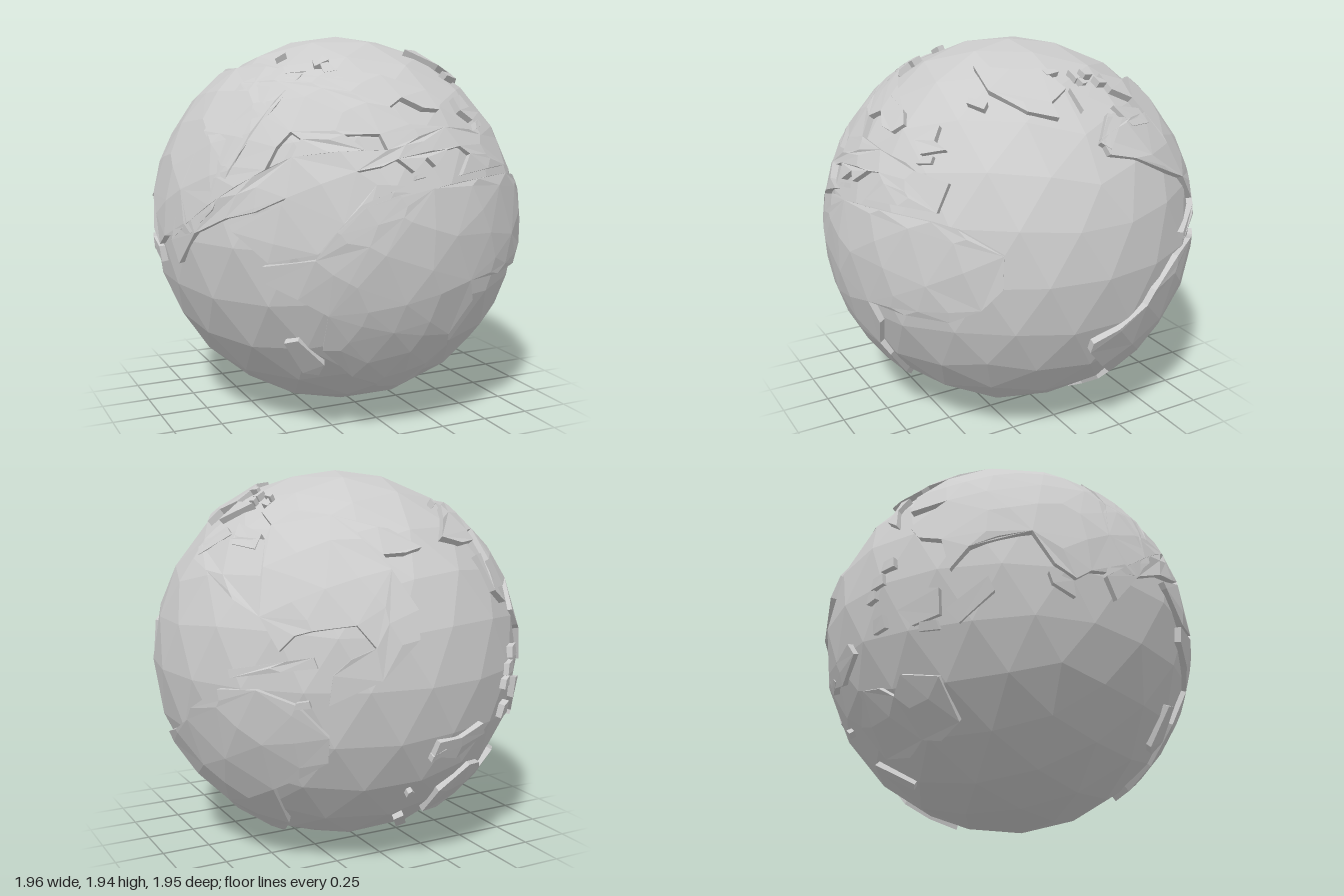
import * as THREE from 'three';

const SEA = 0.97, LAND = 0.99, BASE = 0.93, MAX_EDGE = 0.32;
const mat = new THREE.MeshStandardMaterial({ color: 0xcccccc, flatShading: true });

// Drawing planes [azimuth, elevation] from which the coastlines are wrapped on the sphere
const FRONT = [0, 0], TOP = [0, 90], EAST = [215, 30], WEST = [145, 40], SOUTHWEST = [145, -28], SOUTH = [208, -37];

function wrapper([az, el]) {
  const a = THREE.MathUtils.degToRad(az), e = THREE.MathUtils.degToRad(el);
  const right = new THREE.Vector3(Math.cos(a), 0, -Math.sin(a));
  const dir = new THREE.Vector3(Math.sin(a) * Math.cos(e), Math.sin(e), Math.cos(a) * Math.cos(e));
  const up = new THREE.Vector3().crossVectors(dir, right);
  return (p) => new THREE.Vector3()
    .addScaledVector(right, p.x)
    .addScaledVector(up, p.y)
    .addScaledVector(dir, Math.sqrt(Math.max(0, 1 - p.x * p.x - p.y * p.y)))
    .normalize();
}

const middle = (a, b) => a.clone().add(b).normalize();

// Split long edges so that the land follows the curve of the globe
function splitTriangle(a, b, c, out) {
  const ab = a.distanceTo(b), bc = b.distanceTo(c), ca = c.distanceTo(a);
  const m = Math.max(ab, bc, ca);
  if (m <= MAX_EDGE) { out.push([a, b, c]); return; }
  if (m === bc) [a, b, c] = [b, c, a];
  else if (m === ca) [a, b, c] = [c, a, b];
  const d = middle(a, b);
  splitTriangle(a, d, c, out);
  splitTriangle(d, b, c, out);
}

function splitEdge(a, b, out) {
  if (a.distanceTo(b) <= MAX_EDGE) { out.push([a, b]); return; }
  const d = middle(a, b);
  splitEdge(a, d, out);
  splitEdge(d, b, out);
}

// Outline in hundredths of the globe radius -> raised plate with side walls
function plate(name, view, outline, holes = []) {
  const ring = (pts, ccw) => {
    const r = pts.map(([u, v]) => new THREE.Vector2(u / 100, v / 100));
    return (THREE.ShapeUtils.area(r) > 0) === ccw ? r : r.reverse();
  };
  const outer = ring(outline, true), inner = holes.map((h) => ring(h, false));
  const wrap = wrapper(view);
  const points = [outer, ...inner].flat().map(wrap);
  const pos = [];
  const add = (v, r) => pos.push(v.x * r, v.y * r, v.z * r);

  const tops = [];
  for (const [i, j, k] of THREE.ShapeUtils.triangulateShape(outer, inner))
    splitTriangle(points[i], points[j], points[k], tops);
  for (const t of tops) t.forEach((v) => add(v, LAND));

  for (const r of [outer, ...inner]) {
    const edges = [];
    r.forEach((p, i) => splitEdge(wrap(p), wrap(r[(i + 1) % r.length]), edges));
    for (const [a, b] of edges) {
      add(a, BASE); add(b, BASE); add(b, LAND);
      add(a, BASE); add(b, LAND); add(a, LAND);
    }
  }
  const geo = new THREE.BufferGeometry();
  geo.setAttribute('position', new THREE.Float32BufferAttribute(pos, 3));
  geo.computeVertexNormals();
  const mesh = new THREE.Mesh(geo, mat);
  mesh.name = name;
  return mesh;
}

// Small slanted block island
function islet(name, view, u, v, w, h, s = 1) {
  return plate(name, view, [[u - w, v - h], [u + w, v - h + s], [u + w - s, v + h], [u - w + s, v + h - s]]);
}

export function createModel() {
  const globe = new THREE.Group();
  globe.name = 'globe';

  // Ocean: faceted sphere with a corner at each pole
  const oceanGeo = new THREE.IcosahedronGeometry(SEA, 3);
  oceanGeo.rotateZ(-Math.atan(2 / (1 + Math.sqrt(5))));
  const ocean = new THREE.Mesh(oceanGeo, mat);
  ocean.name = 'ocean';
  globe.add(ocean);

  // Front continents
  globe.add(plate('southFrontContinent', FRONT, [
    [-28, 21], [-41, 10], [-50, -3], [-70, -7], [-69, -15], [-56, -22], [-43, -30], [-42, -49],
    [-24, -66], [-7, -75], [6, -77], [13, -71], [23, -53], [21, -46], [32, -29], [28, -18],
    [69, -18], [80, -10], [86, 1], [85, 17], [70, 28], [60, 30], [25, 30], [6, 28], [-12, 26]]));
  globe.add(plate('northFrontContinent', FRONT, [
    [-42, 84], [-23, 78], [1, 75], [17, 72], [24, 67], [20, 63], [11, 64], [1, 69], [-7, 65],
    [0, 57], [20, 55], [36, 53], [44, 50], [60, 47], [61, 34], [24, 33], [32, 42], [26, 46],
    [18, 45], [9, 38], [5, 42], [-3, 36], [-10, 42], [-18, 39], [-30, 37], [-22, 31], [-8, 30], [-25, 24],
    [-30, 22], [-38, 14], [-49, 0], [-68, -5], [-80, 8], [-81, 11], [-62, 22], [-60, 25], [-72, 18],
    [-82, 14], [-92, 5], [-96, -12], [-98, -1], [-94, 25], [-82, 50], [-62, 75]],
  [[[-66, 37], [-60, 47], [-53, 54], [-50, 51], [-55, 43]],
    [[-32, 53], [-16, 53], [-14, 46], [-24, 46]]]));

  // Eastern part of the large continent
  globe.add(plate('easternContinent', EAST, [
    [58, 77], [51, 66], [49, 56], [30, 45], [5, 41], [-23, 23], [-11, 17], [4, 17], [5, 23], [17, 24],
    [8, 5], [11, -10], [30, -6], [15, -23], [22, -31], [34, -33], [39, -48], [47, -36], [58, -28],
    [70, -19], [78, -31], [84, -32], [88, -24], [97, -8], [98, 10], [90, 38], [75, 62]]));

  // Western continents
  globe.add(plate('northWestContinent', WEST, [
    [49, 10], [33, 16], [6, 20], [-11, 24], [-22, 35], [-29, 26], [-22, 15], [-24, 6], [-38, 11],
    [-48, 20], [-60, 16], [-63, 8], [-54, -3], [-37, -23], [-23, -33], [-13, -48], [-6, -42], [2, -40],
    [22, -36], [31, -44], [20, -50], [12, -57], [10, -68], [34, -56], [50, -36], [49, -23], [36, -7],
    [32, 0], [42, 4]]));
  globe.add(plate('southWestContinent', SOUTHWEST, [
    [-80, -7], [-73, 3], [-63, 17], [-60, 25], [-44, 41], [-24, 46], [-5, 42], [10, 27], [9, 14],
    [-19, -6], [-15, -37], [-23, -63], [-28, -55], [-44, -40], [-47, -32], [-66, -21], [-78, -13]]));

  // Southern continent
  globe.add(plate('southernContinent', SOUTH, [
    [-22, 0], [-9, 16], [3, 14], [10, 8], [18, 16], [36, 8], [35, -15], [22, -20], [13, -16], [0, -22], [-17, -19]]));

  // Large islands
  const islands = [
    [FRONT, [[-58, -46], [-53, -44], [-39, -58], [-39, -65], [-46, -64]]],
    [FRONT, [[34, 68], [41, 69], [44, 63], [51, 60], [42, 57], [35, 62]]],
    [TOP, [[24, -33], [37, -20], [42, -6], [56, 0], [61, -11], [68, -11], [61, -24], [43, -35]]],
    [TOP, [[40, -44], [48, -38], [50, -41], [42, -46]]],
    [TOP, [[60, 40], [65, 43], [71, 29], [64, 22]]],
    [TOP, [[69, 24], [81, 10], [79, 5], [68, 16]]],
    [TOP, [[54, 16], [67, 3], [56, 2]]],
    [SOUTHWEST, [[-38, 51], [-10, 59], [3, 61], [5, 57], [-12, 55], [-37, 48]]],
    [SOUTHWEST, [[37, -40], [42, -38], [42, -59], [37, -59]]],
    [EAST, [[-50, -65], [-38, -68], [-24, -67], [-20, -72], [-36, -76], [-50, -70]]],
    [EAST, [[11, -55], [34, -56], [33, -66], [19, -70], [12, -64]]],
    [EAST, [[36, -64], [55, -48], [57, -53], [41, -68]]],
    [EAST, [[-5, 9], [1, 9], [-1, -2], [5, -18], [-4, -11]]],
    [EAST, [[76, -36], [83, -34], [83, -40], [77, -40]]],
  ];
  islands.forEach(([view, pts], i) => globe.add(plate(`island${i + 1}`, view, pts)));

  // Small islets: [plane, u, v, half width, half height]
  const islets = [
    [FRONT, -41, 82, 4, 2], [FRONT, -27, 83, 3, 2.5], [FRONT, 46, 55, 3, 2],
    [FRONT, 0, 34, 3, 1.5], [TOP, 46, 18, 2, 3], [TOP, 50, 24, 2, 3], [TOP, 48, 10, 3, 2],
    [TOP, 52, 12, 2, 2], [TOP, 45, -2, 2, 4], [TOP, -41, -21, 3, 2.5], [TOP, -28, -42, 4, 3],
    [EAST, 0, -49, 4, 3], [EAST, 6, -42, 4, 3], [EAST, -4, -55, 3, 2.5], [EAST, 0, -67, 4, 3],
    [EAST, 27, -70, 5, 2], [EAST, 1, 44, 2, 2], [SOUTHWEST, 46, -17, 2, 2],
    [SOUTHWEST, 60, 3, 4, 2], [SOUTHWEST, -2, 42, 4, 2],
  ];
  islets.forEach(([view, u, v, w, h], i) => globe.add(islet(`islet${i + 1}`, view, u, v, w, h)));

  globe.children.forEach((m) => { m.position.y = SEA; });
  return globe;
}
